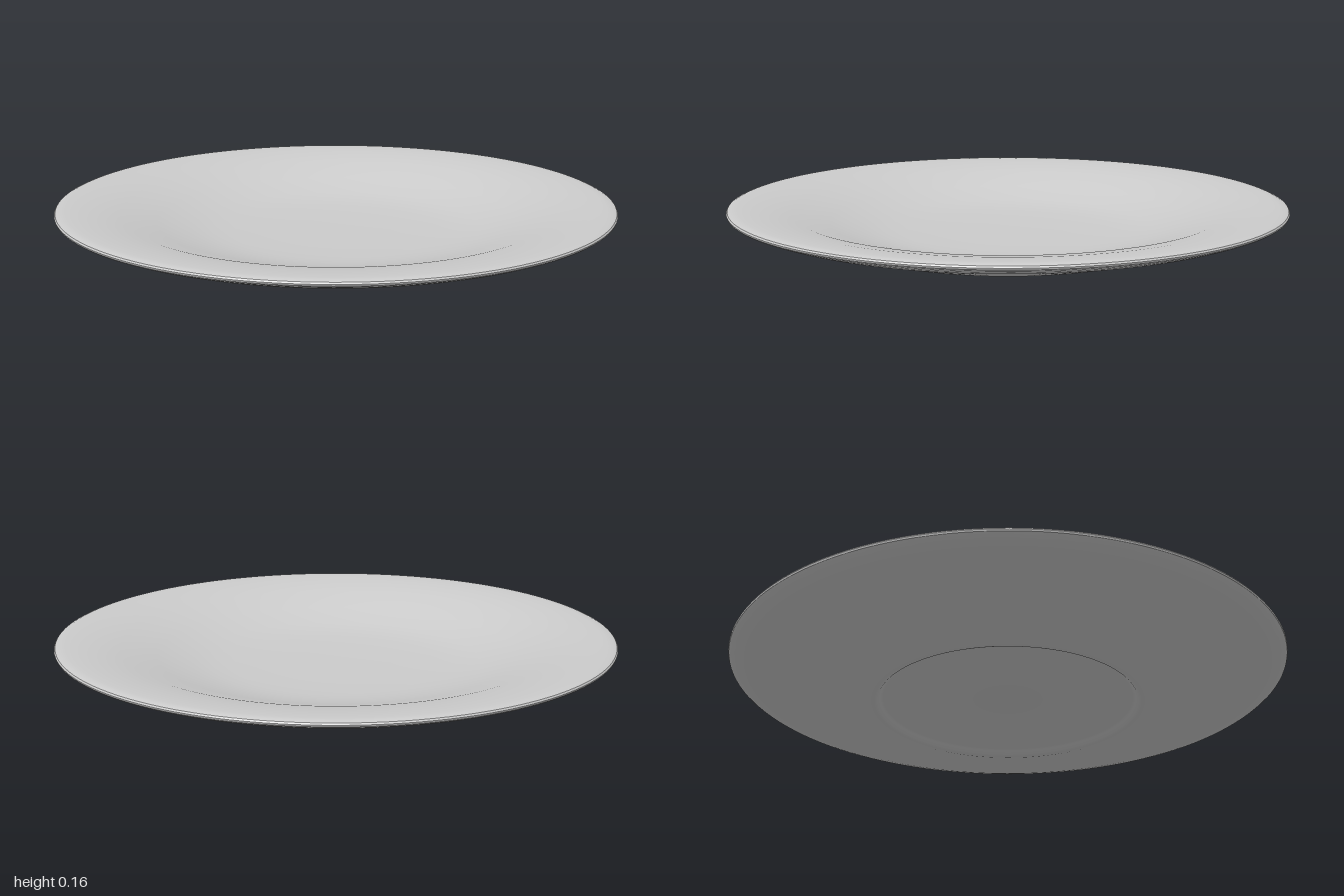
import * as THREE from 'three';
import { toCreasedNormals } from 'three/addons/utils/BufferGeometryUtils.js';

export function createModel() {
  const group = new THREE.Group();
  group.name = 'plate';
  const material = new THREE.MeshStandardMaterial({ color: 0xcccccc });

  // Closed profile [radius, height]: underside centre, out to the rim, back to the top centre
  const profile = [
    // recessed underside and foot ring
    [0, 0.016], [0.445, 0.016], [0.455, 0.012], [0.465, 0.002], [0.475, 0], [0.495, 0],
    // outer flank
    [0.51, 0.004], [0.6, 0.025], [0.76, 0.067], [0.92, 0.108], [0.965, 0.123],
    // rounded rim
    [0.99, 0.133], [0.998, 0.139], [1, 0.145], [0.996, 0.151], [0.985, 0.155], [0.96, 0.156],
    // shoulder, sloping well and flat floor
    [0.91, 0.153], [0.86, 0.148], [0.77, 0.134], [0.64, 0.099], [0.52, 0.067],
    [0.44, 0.056], [0.37, 0.05], [0.2, 0.047], [0, 0.046],
  ].map(([r, y]) => new THREE.Vector2(r, y));

  const geometry = toCreasedNormals(new THREE.LatheGeometry(profile, 128), 0.6);
  const dish = new THREE.Mesh(geometry, material);
  dish.name = 'dish';
  group.add(dish);
  return group;
}
